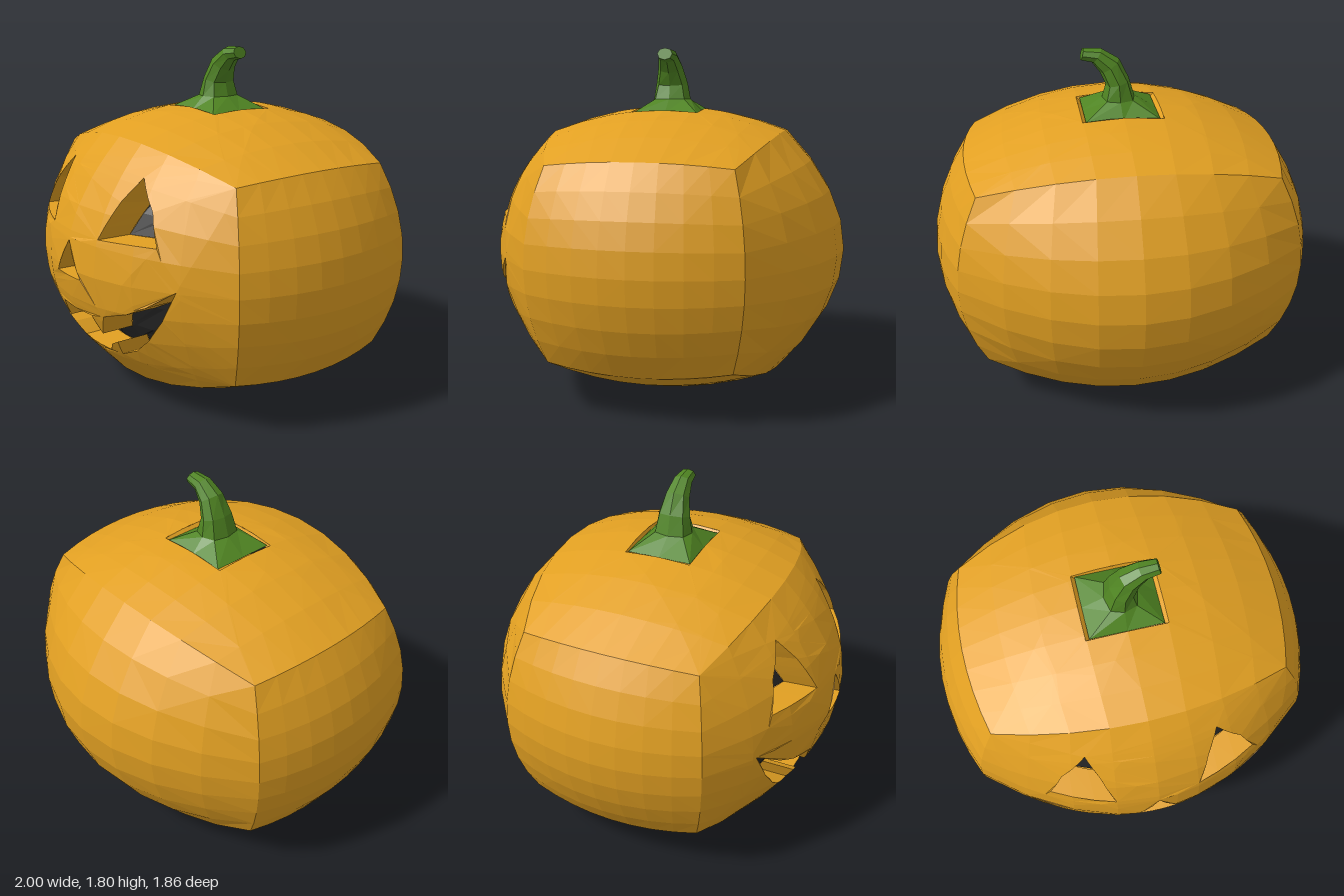
import * as THREE from 'three';

const ORANGE = 0xe2a022, GREEN = 0x4f8422, DARK = 0x262626;
const CELLS = 8;

// Bulged, creased cube: a, b, c run from -1 to 1 over the cube
const bulge = (a, b, c) => new THREE.Vector3(
  a * (1 - 0.18 * b * b - 0.12 * c * c + 0.06 * b * b * c * c),
  0.75 + b * (0.745 - 0.23 * a * a - 0.12 * c * c + 0.09 * a * a * c * c),
  c * (0.93 - 0.4 * a * a - 0.32 * b * b + 0.25 * a * a * b * b));

const faces = {
  front: (u, v) => bulge(u, v, 1),
  back: (u, v) => bulge(-u, v, -1),
  leftSide: (u, v) => bulge(1, v, -u),
  rightSide: (u, v) => bulge(-1, v, u),
  top: (u, v) => bulge(u, 1, -v),
  bottom: (u, v) => bulge(u, -1, v),
};

function mesh(name, points, color) {
  const g = new THREE.BufferGeometry().setFromPoints(points);
  g.computeVertexNormals();
  const m = new THREE.Mesh(g, new THREE.MeshStandardMaterial({
    color, flatShading: true, side: THREE.DoubleSide }));
  m.name = name;
  return m;
}

// Keep the part of a convex polygon where sign * (p[axis] - limit) >= 0
function clip(poly, axis, limit, sign) {
  const out = [];
  poly.forEach((p, i) => {
    const q = poly[(i + 1) % poly.length];
    const dp = sign * (p[axis] - limit), dq = sign * (q[axis] - limit);
    if (dp >= 0) out.push(p);
    if (dp * dq < 0) out.push(p.clone().lerp(q, dp / (dp - dq)));
  });
  return out;
}

// Triangulate an outline with holes, cut it on a grid, and map it into space
function patch(outline, holes, map) {
  const all = [outline, ...holes].flat(), out = [];
  const size = 2 / CELLS;
  for (const tri of THREE.ShapeUtils.triangulateShape(outline, holes)) {
    const t = tri.map(i => all[i]);
    if (THREE.ShapeUtils.area(t) < 0) t.reverse();
    for (let i = 0; i < CELLS; i++) {
      for (let j = 0; j < CELLS; j++) {
        const u = -1 + i * size, v = -1 + j * size;
        let p = clip(t, 'x', u, 1);
        p = clip(p, 'x', u + size, -1);
        p = clip(p, 'y', v, 1);
        p = clip(p, 'y', v + size, -1);
        for (let k = 1; k < p.length - 1; k++)
          for (const q of [p[0], p[k], p[k + 1]]) out.push(map(q.x, q.y));
      }
    }
  }
  return out;
}

// Side walls of a cut, from the skin to its inner rim
function walls(loop, outer, inner) {
  const out = [], steps = 3;
  loop.forEach((a, i) => {
    const b = loop[(i + 1) % loop.length];
    for (let s = 0; s < steps; s++) {
      const p = a.clone().lerp(b, s / steps), q = a.clone().lerp(b, (s + 1) / steps);
      const [p0, q0, p1, q1] = [outer(p.x, p.y), outer(q.x, q.y), inner(p.x, p.y), inner(q.x, q.y)];
      out.push(p0, p1, q0, q0, p1, q1);
    }
  });
  return out;
}

// Find the front-face parameters of a point seen at x, y
function onFront([x, y]) {
  const r = new THREE.Vector2(x, y - 0.75);
  for (let i = 0; i < 40; i++) {
    const p = faces.front(r.x, r.y);
    r.x += x - p.x;
    r.y += y - p.y;
  }
  return r;
}

const mirror = pts => pts.map(([x, y]) => [-x, y]).reverse();

// Curved, tapering stalk lofted through eight-sided rings
function stem() {
  // x, y, tilt, half width, half depth, corner factor
  const rings = [
    [0, 1.465, 0, 0.19, 0.17, 1],
    [0.005, 1.535, 0, 0.085, 0.1, 0.78],
    [0.01, 1.62, 0.25, 0.062, 0.085, 0.75],
    [0.05, 1.705, 0.6, 0.06, 0.065, 0.72],
    [0.115, 1.76, 0.95, 0.043, 0.05, 0.72],
    [0.19, 1.77, 1.3, 0.032, 0.04, 0.72],
  ].map(([x, y, tilt, w, d, k]) => Array.from({ length: 8 }, (_, i) => {
    const f = i % 2 ? k : 1, a = i * Math.PI / 4;
    const s = Math.round(Math.cos(a)) * f * w, z = -Math.round(Math.sin(a)) * f * d;
    return new THREE.Vector3(x + s * Math.cos(tilt), y - s * Math.sin(tilt), z);
  }));
  const out = [];
  for (let r = 0; r < rings.length - 1; r++) {
    for (let i = 0; i < 8; i++) {
      const j = (i + 1) % 8, lo = rings[r], hi = rings[r + 1];
      out.push(lo[i], lo[j], hi[j], lo[i], hi[j], hi[i]);
    }
  }
  const tip = rings[rings.length - 1];
  for (let i = 1; i < 7; i++) out.push(tip[0], tip[i], tip[i + 1]);
  return mesh('stem', out, GREEN);
}

export function createModel() {
  const model = new THREE.Group();
  model.name = 'carvedPumpkin';

  // Outlines of the carved face
  const eye = [[0.22, 0.937], [0.54, 0.947], [0.465, 1.1], [0.335, 1.235], [0.28, 1.12]];
  const nose = [[-0.112, 0.713], [0.112, 0.713], [0, 0.893]];
  const halfMouth = [
    [0.13, 0.315], [0.19, 0.375], [0.255, 0.408], [0.22, 0.32], [0.36, 0.385], [0.465, 0.47],
    [0.57, 0.6], [0.645, 0.757], [0.5, 0.655], [0.385, 0.595], [0.24, 0.55], [0.165, 0.43], [0.14, 0.53]];
  const mouth = [...halfMouth, ...mirror(halfMouth)];

  // Each cut: outline, point its inner rim shrinks towards, and shrink factor
  const cuts = [
    ['leftEye', eye, 0.36, 0.95, 0.88],
    ['rightEye', mirror(eye), -0.36, 0.95, 0.88],
    ['nose', nose, 0, 0.715, 0.9],
    ['mouth', mouth, 0, 0.5, 1],
  ].map(([name, pts, cx, cy, shrink]) => ({
    name, loop: pts.map(onFront),
    inner: (u, v) => {
      const p = faces.front(u, v);
      return p.set(cx + (p.x - cx) * shrink, cy + (p.y - cy) * shrink, p.z - 0.17);
    },
  }));

  // Square socket for the stem
  const socket = [[-1, -1], [1, -1], [1, 1], [-1, 1]].map(([x, y]) => new THREE.Vector2(x * 0.256, y * 0.292));
  const socketInner = (u, v) => {
    const p = faces.top(u, v);
    return p.set(p.x * 0.9, p.y - 0.02, p.z * 0.95);
  };

  // Skin
  for (const [name, map] of Object.entries(faces)) {
    const square = [[-1, -1], [1, -1], [1, 1], [-1, 1]].map(p => new THREE.Vector2(...p));
    const holes = name === 'front' ? cuts.map(c => c.loop) : name === 'top' ? [socket] : [];
    model.add(mesh(name + 'Skin', patch(square, holes, map), ORANGE));
  }

  // Carved walls and dark hollows
  for (const { name, loop, inner } of cuts) {
    model.add(mesh(name + 'Walls', walls(loop, faces.front, inner), ORANGE));
    model.add(mesh(name + 'Hollow', patch(loop, [], inner), DARK));
  }
  model.add(mesh('stemSocket', walls(socket, faces.top, socketInner), ORANGE));
  model.add(stem());
  return model;
}
